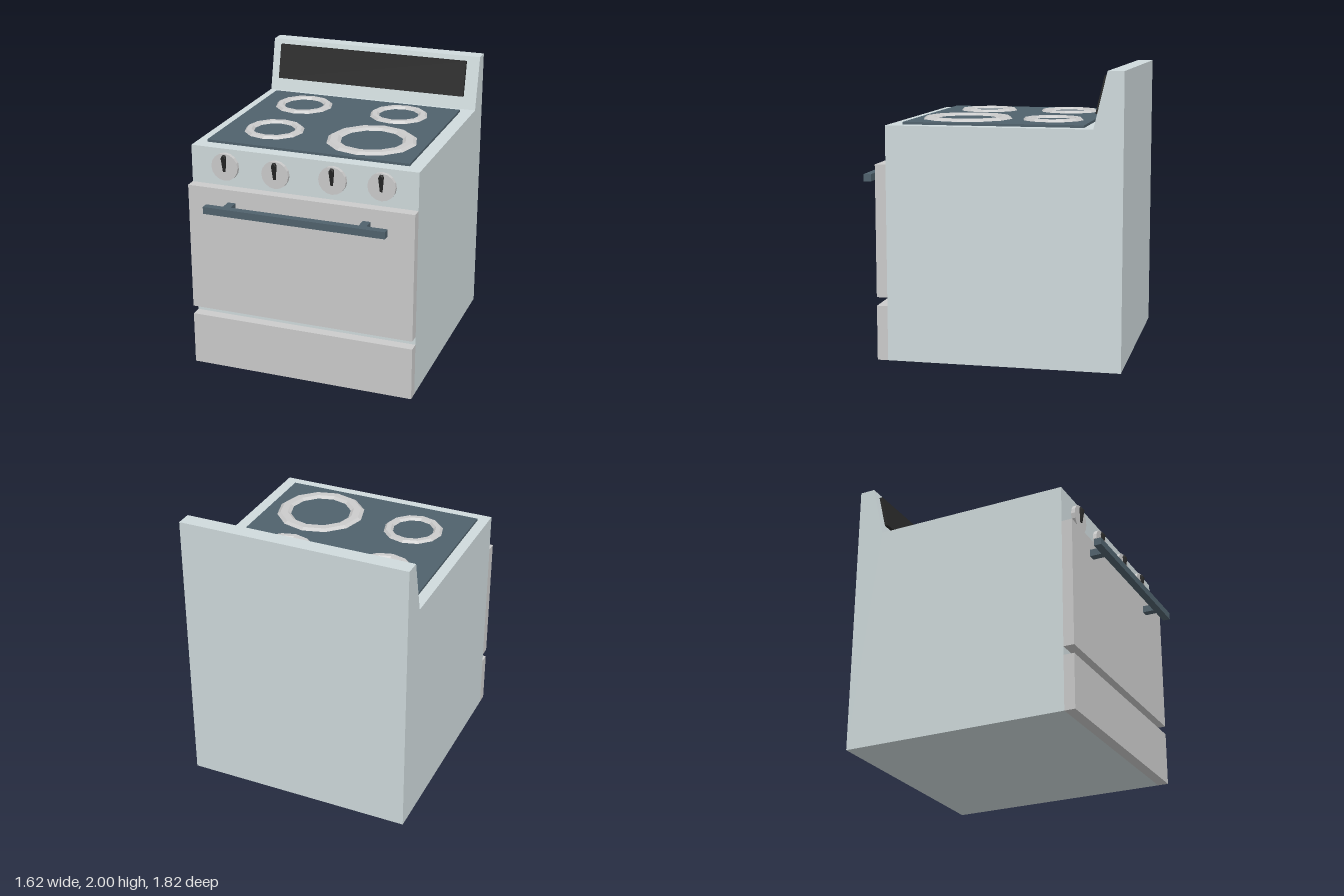
import * as THREE from 'three';

const material = (color) => new THREE.MeshStandardMaterial({ color, flatShading: true });

export function createModel() {
  const stove = new THREE.Group();
  stove.name = 'stove';

  const enamel = material(0xd0dbdd);
  const grey = material(0xcccccc);
  const slate = material(0x50626d);
  const black = material(0x272727);

  function add(name, geometry, mat, parent = stove) {
    const mesh = new THREE.Mesh(geometry, mat);
    mesh.name = name;
    parent.add(mesh);
    return mesh;
  }

  // Box given by its limits on each axis
  function box(name, [x0, x1], [y0, y1], [z0, z1], mat, parent) {
    const mesh = add(name, new THREE.BoxGeometry(x1 - x0, y1 - y0, z1 - z0), mat, parent);
    mesh.position.set((x0 + x1) / 2, (y0 + y1) / 2, (z0 + z1) / 2);
    return mesh;
  }

  // Side profile of [z, y] points extruded from x0 to x1
  function profile(points, x0, x1) {
    const shape = new THREE.Shape(points.map(([z, y]) => new THREE.Vector2(-z, y)));
    return new THREE.ExtrudeGeometry(shape, { depth: x1 - x0, bevelEnabled: false })
      .rotateY(Math.PI / 2)
      .translate(x0, 0, 0);
  }

  // Cabinet with the sloping back panel in one profile
  add('body', profile([
    [0.7, 0], [-0.91, 0], [-0.91, 2], [-0.8, 2], [-0.71, 1.62], [0.7, 1.62],
  ], -0.81, 0.81), enamel);

  // Dark display leaning with the back panel
  add('displayPanel', profile([
    [-0.708, 1.715], [-0.735, 1.715], [-0.794, 1.965], [-0.767, 1.965],
  ], -0.745, 0.715), black);

  // Oven door and storage drawer
  box('ovenDoor', [-0.81, 0.81], [0.44, 1.355], [0.7, 0.775], grey);
  box('drawer', [-0.81, 0.81], [0, 0.38], [0.7, 0.775], grey);

  // Door handle: bar on two posts
  const handle = new THREE.Group();
  handle.name = 'doorHandle';
  stove.add(handle);
  box('handleBar', [-0.64, 0.65], [1.215, 1.265], [0.857, 0.91], slate, handle);
  for (const x of [-0.487, 0.48]) {
    box('handlePost', [x - 0.027, x + 0.027], [1.215, 1.265], [0.775, 0.857], slate, handle);
  }

  // Cooktop plate
  box('cooktop', [-0.735, 0.715], [1.62, 1.637], [-0.635, 0.605], slate);

  // Flattened burner rings: x, z, ring radius, tube radius
  const burners = [
    [-0.395, -0.348, 0.178, 0.034],
    [0.333, -0.36, 0.178, 0.034],
    [-0.38, 0.258, 0.178, 0.034],
    [0.333, 0.245, 0.266, 0.051],
  ];
  for (const [x, z, radius, tube] of burners) {
    const ring = new THREE.TorusGeometry(radius, tube, 6, 12)
      .rotateX(-Math.PI / 2)
      .scale(1, 0.02 / tube, 1);
    add('burnerRing', ring, grey).position.set(x, 1.636, z);
  }

  // Control knobs, each with a tapered, wedge-shaped pointer
  const pointerShape = new THREE.Shape([
    [-0.008, -0.03], [0.008, -0.03], [0.016, 0.07], [0.01, 0.087], [-0.01, 0.087], [-0.016, 0.07],
  ].map(([x, y]) => new THREE.Vector2(x, y)));
  for (const [x, y] of [[-0.555, 1.497], [-0.188, 1.485], [0.22, 1.497], [0.563, 1.497]]) {
    const knob = new THREE.Group();
    knob.name = 'knob';
    knob.position.set(x, y, 0.7);
    stove.add(knob);
    add('knobDisc', new THREE.CylinderGeometry(0.097, 0.097, 0.028, 16).rotateX(Math.PI / 2), grey, knob)
      .position.z = 0.014;
    const pointer = new THREE.ExtrudeGeometry(pointerShape, { depth: 0.024, bevelEnabled: false });
    const p = pointer.attributes.position;
    for (let i = 0; i < p.count; i++) {
      // The outer face slopes down toward both ends
      if (p.getZ(i) > 0.01) p.setZ(i, p.getY(i) > 0.08 ? 0.012 : p.getY(i) > 0 ? 0.024 : 0.01);
    }
    pointer.computeVertexNormals();
    add('knobPointer', pointer, black, knob).position.z = 0.027;
  }

  return stove;
}
